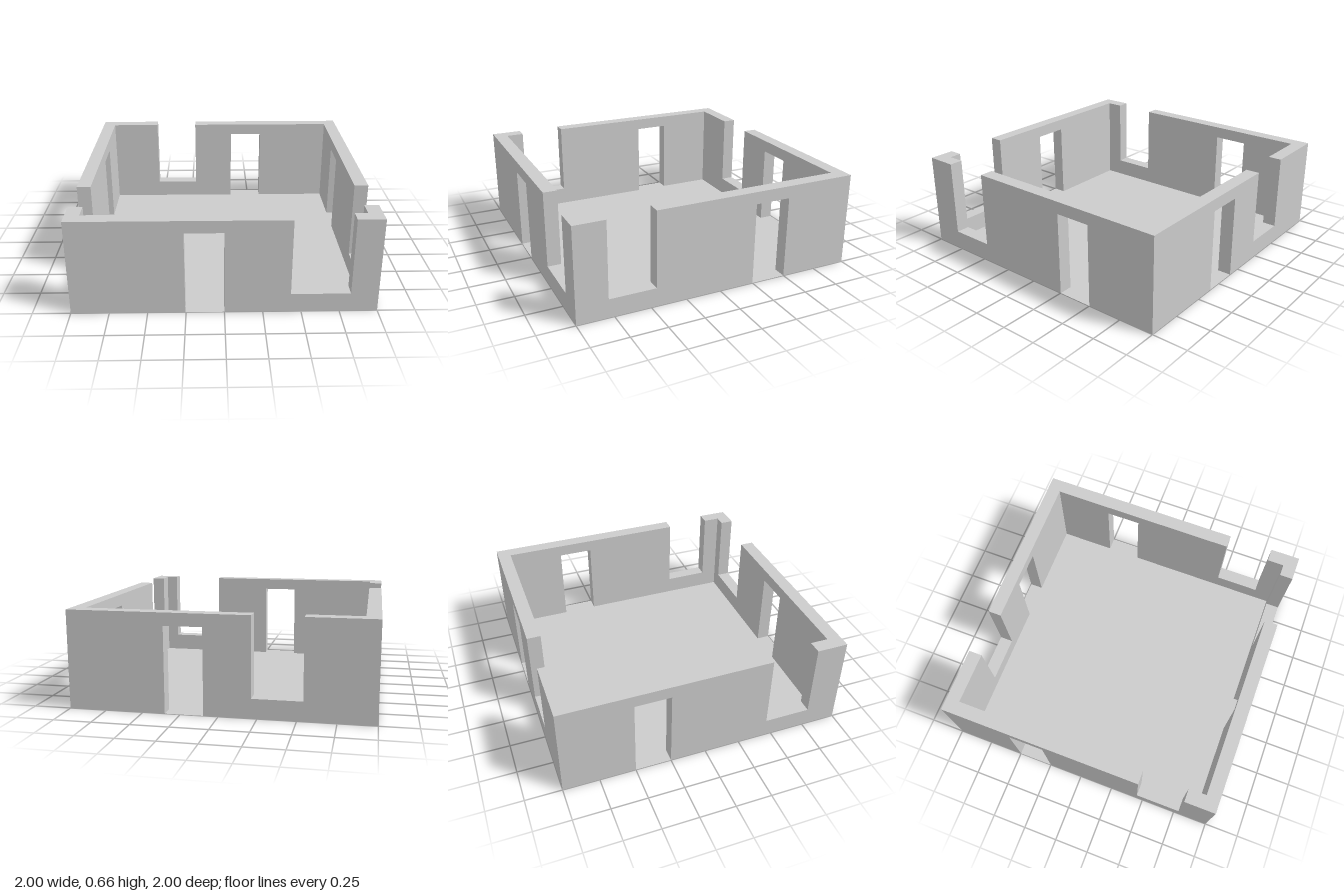
import * as THREE from 'three';
import { mergeGeometries } from 'three/addons/utils/BufferGeometryUtils.js';

const HEIGHT = 0.66, INNER = 0.905, DOOR_TOP = 0.575, SILL = 0.13;

const material = new THREE.MeshStandardMaterial({
  color: 0xcccccc, flatShading: true, side: THREE.DoubleSide,
});

// Flat sheet from an outline, optionally turned to face backwards
function sheet(points, z, flip) {
  const g = new THREE.ShapeGeometry(new THREE.Shape(points));
  if (flip) g.setIndex(Array.from(g.index.array).reverse());
  g.translate(0, 0, z);
  const flat = g.toNonIndexed();
  flat.deleteAttribute('uv');
  flat.computeVertexNormals();
  return flat;
}

// Four-cornered strip joining an outer edge to the matching inner edge
function strip(a, b, c, d) {
  const g = new THREE.BufferGeometry();
  g.setAttribute('position', new THREE.Float32BufferAttribute([a, d, c, a, c, b].flat(), 3));
  g.computeVertexNormals();
  return g;
}

// Hollow wall, open underneath, facing +z; door and window are spans along it
function wallGeometry([doorA, doorB], [winA, winB]) {
  const outline = [
    [-1, 0], [doorA, 0], [doorA, DOOR_TOP], [doorB, DOOR_TOP], [doorB, 0], [1, 0],
    [1, HEIGHT], [winB, HEIGHT], [winB, SILL], [winA, SILL], [winA, HEIGHT], [-1, HEIGHT],
  ].map(([x, y]) => new THREE.Vector2(x, y));
  // The inner face is shorter, giving mitred corners
  const inner = outline.map((p) => new THREE.Vector2(THREE.MathUtils.clamp(p.x, -INNER, INNER), p.y));

  const parts = [sheet(outline, 1, false), sheet(inner, INNER, true)];
  outline.forEach((p, i) => {
    const j = (i + 1) % outline.length, q = outline[j];
    const atGround = p.y === 0 && q.y === 0;
    const atCorner = p.x === q.x && Math.abs(p.x) === 1;
    if (atGround || atCorner) return;
    parts.push(strip([p.x, p.y, 1], [q.x, q.y, 1],
      [inner[j].x, inner[j].y, INNER], [inner[i].x, inner[i].y, INNER]));
  });
  return mergeGeometries(parts);
}

// Horizontal panel at ground level
function groundPanel(name, x0, x1, z0, z1) {
  const g = new THREE.PlaneGeometry(x1 - x0, z1 - z0).rotateX(-Math.PI / 2);
  const mesh = new THREE.Mesh(g, material);
  mesh.position.set((x0 + x1) / 2, 0, (z0 + z1) / 2);
  mesh.name = name;
  return mesh;
}

export function createModel() {
  const model = new THREE.Group();
  model.name = 'openRoom';

  // Floor inside the walls
  model.add(groundPanel('floor', -INNER, INNER, -INNER, INNER));

  // Four walls, each with one doorway and one open-topped window
  const walls = [
    { name: 'front', turn: 0, door: [-0.255, 0], win: [0.43, 0.82] },
    { name: 'right', turn: 1, door: [0.25, 0.5], win: [-0.785, -0.462] },
    { name: 'back', turn: 2, door: [-0.352, -0.097], win: [0.213, 0.54] },
    { name: 'left', turn: 3, door: [-0.5, -0.25], win: [0.455, 0.78] },
  ];
  for (const { name, turn, door, win } of walls) {
    const side = new THREE.Group();
    side.name = name + 'Side';
    const wall = new THREE.Mesh(wallGeometry(door, win), material);
    wall.name = name + 'Wall';
    // Threshold continues the floor through the doorway
    side.add(wall, groundPanel(name + 'Threshold', door[0], door[1], INNER, 1));
    side.rotation.y = turn * Math.PI / 2;
    model.add(side);
  }
  return model;
}
